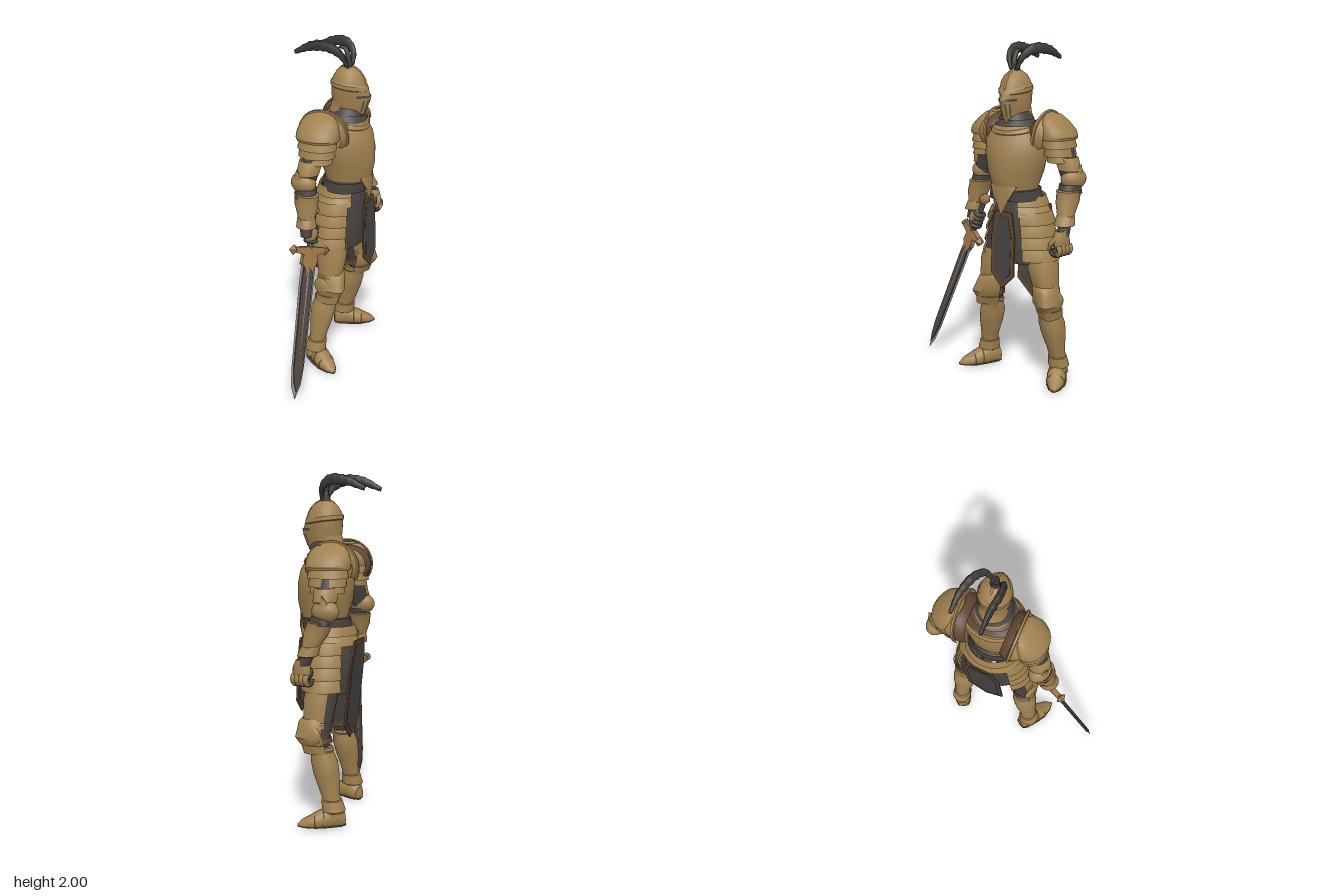
import * as THREE from 'three';
import { toCreasedNormals } from 'three/addons/utils/BufferGeometryUtils.js';

const paint = (name, color) => new THREE.MeshStandardMaterial({ name, color, side: THREE.DoubleSide });
const GOLD = paint('armour gold', 0xa08150), DARK = paint('dark cloth', 0x474340), BROWN = paint('brown leather', 0x5e4632);
const PLUME = paint('plume black', 0x3f3b37), STEEL = paint('blade steel', 0x8c8c8e);
const FULLER = paint('blade centre', 0x51473f), HILT = paint('hilt bronze', 0xa0774a);
const V = (x, y, z) => new THREE.Vector3(x, y, z);
const PI = Math.PI;

// Rings listed top to bottom: [y, rx, rz, cx, cz, keel]; keel pulls the front into a ridge
function loft(rows, { a0 = -PI, a1 = PI, n = 28, yaw = 0, warp = null, crease = 0.6 } = {}) {
  const pos = [], idx = [], p = V(0, 0, 0);
  rows.forEach(([y, rx, rz, cx = 0, cz = 0, keel = 0], j) => {
    for (let i = 0; i <= n; i++) {
      const a = a0 + (a1 - a0) * i / n;
      p.set(Math.sin(a) * rx, 0, Math.cos(a) * rz + keel * Math.max(0, Math.cos(a)) ** 6);
      p.applyAxisAngle(THREE.Object3D.DEFAULT_UP, yaw).add(V(cx, y, cz));
      if (warp) warp(p);
      pos.push(p.x, p.y, p.z);
      if (i < n && j < rows.length - 1) {
        const k = j * (n + 1) + i, m = k + n + 1;
        idx.push(k, m, k + 1, k + 1, m, m + 1);
      }
    }
  });
  const g = new THREE.BufferGeometry();
  g.setAttribute('position', new THREE.Float32BufferAttribute(pos, 3));
  g.setIndex(idx);
  return toCreasedNormals(g, crease);
}
// Rings strung between two joints: [t, rx, rz, forward, keel]
function limb(a, b, rows, opt = {}) {
  const yaw = opt.yaw || 0;
  return loft(rows.map(([t, rx, rz = rx, f = 0, keel = 0]) => {
    const c = a.clone().lerp(b, t);
    return [c.y, rx, rz, c.x + f * Math.sin(yaw), c.z + f * Math.cos(yaw), keel];
  }), opt);
}
// Thin band of a loft between two heights, grown outward
function band(rows, y0, y1, grow) {
  return [y0, y1].map(y => {
    const j = rows.findIndex((r, i) => i > 0 && r[0] <= y), A = rows[j - 1], B = rows[j];
    const r = A.map((v, k) => v + (B[k] - v) * (A[0] - y) / (A[0] - B[0]));
    return [y, r[1] + grow, r[2] + grow, r[3], r[4], r[5]];
  });
}
function add(parent, name, geo, mat, at) {
  const m = new THREE.Mesh(geo, mat);
  m.name = name;
  if (at) m.position.copy(at);
  parent.add(m);
  return m;
}
function group(parent, name, x = 0, y = 0, z = 0, yaw = 0) {
  const g = new THREE.Group();
  g.name = name; g.position.set(x, y, z); g.rotation.y = yaw;
  parent.add(g);
  return g;
}
function plate(pts, depth) {
  const g = new THREE.ExtrudeGeometry(new THREE.Shape(pts.map(p => new THREE.Vector2(...p))), { depth, bevelEnabled: false });
  return g.translate(0, 0, -depth / 2);
}
// Tube along points whose thickness follows size(t); tall stretches its section upward
function taperTube(pts, r, size, seg = 36, tall = 1) {
  const c = new THREE.CatmullRomCurve3(pts), g = new THREE.TubeGeometry(c, seg, r, 8), P = g.attributes.position, v = V(0, 0, 0);
  for (let i = 0; i < P.count; i++) {
    const t = Math.floor(i / 9) / seg, o = c.getPointAt(t);
    v.fromBufferAttribute(P, i).sub(o).multiplyScalar(size(t));
    v.y *= tall;
    v.add(o);
    P.setXYZ(i, v.x, v.y, v.z);
  }
  g.computeVertexNormals();
  return g;
}

function buildTorso(root) {
  const t = group(root, 'torso', 0.135, 0, 0.03, 0.27);
  add(t, 'cuirass', loft([[1.56, 0.1, 0.1], [1.525, 0.15, 0.125], [1.46, 0.185, 0.15, 0, 0.01, 0.005], [1.38, 0.187, 0.16, 0, 0.015, 0.01],
    [1.28, 0.165, 0.155, 0, 0.02, 0.013], [1.2, 0.138, 0.135, 0, 0.025, 0.013], [1.13, 0.134, 0.12, 0, 0.02, 0.01]], { n: 40 }), GOLD);
  add(t, 'backPlateRim', loft([[1.5, 0.165, 0.14], [1.475, 0.19, 0.157, 0, 0.005], [1.475, 0.18, 0.15]], { a0: 2.1, a1: 4.2 }), GOLD);
  add(t, 'neckRim', loft([[1.54, 0.12, 0.125, 0, 0.005], [1.535, 0.135, 0.135, 0, 0.008], [1.515, 0.15, 0.142, 0, 0.008], [1.5, 0.15, 0.135]],
    { a0: -1.1, a1: 1.1, warp: p => { p.y -= 0.25 * Math.max(0, p.z - 0.08); } }), GOLD);
  add(t, 'belt', loft([[1.185, 0.14, 0.13, 0, 0.02], [1.18, 0.15, 0.143, 0, 0.02], [1.12, 0.158, 0.142, 0, 0.015], [1.115, 0.14, 0.12]]), DARK);
  add(t, 'breastplatePoint', loft([[1.21, 0.142, 0.145, 0, 0.02, 0.008], [1.13, 0.156, 0.146, 0, 0.02, 0.012], [1.04, 0.158, 0.146, 0, 0.015, 0.008]],
    { a0: -0.6, a1: 0.6, warp: p => { p.y = Math.max(p.y, 1.04 + 1.9 * Math.abs(p.x)); } }), GOLD);
  add(t, 'neck', loft([[1.62, 0.075, 0.08, 0, 0.02], [1.575, 0.1, 0.105, 0, 0.015], [1.575, 0.092, 0.095, 0, 0.01], [1.54, 0.125, 0.122, 0, 0.01]]), DARK);
  add(t, 'collar', loft([[1.555, 0.11, 0.1], [1.545, 0.135, 0.12], [1.545, 0.12, 0.11], [1.515, 0.178, 0.137]], { a0: 0.9, a1: 2 * PI - 0.9 }), BROWN);
  // Layered shoulders with an upright guard beside the neck
  for (const s of [1, -1]) {
    const p = group(t, s > 0 ? 'leftPauldron' : 'rightPauldron', s > 0 ? 0.232 : -0.24, 0, -0.06);
    p.scale.x = s;
    add(p, 'shoulderLames', loft([[1.61, 0.005, 0.03, -0.05], [1.6, 0.035, 0.08, -0.04], [1.565, 0.065, 0.11, -0.022], [1.52, 0.092, 0.126, -0.002], [1.485, 0.1, 0.13, 0.004],
      [1.47, 0.096, 0.124, 0.004], [1.47, 0.082, 0.11, 0.004], [1.425, 0.091, 0.118, 0.01], [1.425, 0.077, 0.104, 0.012], [1.38, 0.085, 0.11, 0.016],
      [1.38, 0.07, 0.094, 0.018], [1.345, 0.076, 0.098, 0.024], [1.345, 0.06, 0.07, 0.024]]), GOLD);
    const tip = q => q.set(-q.y + 0.12 * q.x, q.x, q.z);
    const wrap = { a0: -0.5, a1: PI + 0.5, warp: tip };
    add(p, 'neckGuard', loft([[0.075, 0.142, 0.15], [0.06, 0.135, 0.145], [0.02, 0.105, 0.13]], wrap), GOLD).position.y = 1.48;
    add(p, 'neckGuardRim', loft([[0.085, 0.143, 0.151], [0.08, 0.15, 0.158], [0.067, 0.147, 0.156], [0.065, 0.138, 0.147]], wrap), GOLD).position.y = 1.48;
    add(p, 'shoulderPadding', loft([[0.135, 0.105, 0.125], [0.11, 0.125, 0.142], [0.06, 0.128, 0.142]], wrap), BROWN).position.y = 1.47;
  }
}

function buildHelmet(root) {
  const h = group(root, 'helmet', 0.14, 0, 0.05, 0.27);
  const visor = [[1.74, 0.09, 0.097, 0, 0, 0.02], [1.68, 0.088, 0.096, 0, 0, 0.045], [1.62, 0.076, 0.088, 0, 0, 0.035], [1.555, 0.062, 0.076, 0, 0, 0.015]];
  add(h, 'skull', loft([[1.852, 0.002, 0.002], [1.845, 0.03, 0.036, 0, 0, 0.004], [1.822, 0.06, 0.068, 0, 0, 0.008], [1.785, 0.081, 0.09, 0, 0, 0.012],
    [1.74, 0.089, 0.098, 0, 0, 0.018]]), GOLD);
  add(h, 'browBand', loft([[1.765, 0.086, 0.094, 0, 0, 0.018], [1.757, 0.093, 0.102, 0, 0, 0.02], [1.735, 0.095, 0.104, 0, 0, 0.024], [1.728, 0.088, 0.096, 0, 0, 0.02]],
    { warp: p => { p.y -= 0.1 * p.z * (p.z > 0 ? 1.5 : 1); } }), GOLD);
  add(h, 'visor', loft(visor, { n: 40, warp: p => { if (p.y < 1.6) p.y += Math.max(0, -p.z) * 0.4; } }), GOLD);
  add(h, 'neckFlare', loft([[1.66, 0.083, 0.09], [1.62, 0.078, 0.096, 0, -0.006], [1.59, 0.084, 0.104, 0, -0.01]], { a0: 1.7, a1: 4.58 }), GOLD);
  add(h, 'combRidge', taperTube([V(0, 1.74, 0.116), V(0, 1.8, 0.09), V(0, 1.846, 0.035), V(0, 1.843, -0.035), V(0, 1.76, -0.096)], 0.007, () => 1), GOLD);
  for (const s of [1, -1]) {
    add(h, 'eyeSlit', loft(band(visor, 1.694, 1.68, 0.003), { a0: s > 0 ? 0.15 : -0.75, a1: s > 0 ? 0.75 : -0.15 }), DARK);
    for (const a of [0.2, 0.42]) add(h, 'breathSlit', loft(band(visor, 1.665, 1.595, 0.003), { a0: s * a - 0.035, a1: s * a + 0.035, n: 3 }), DARK);
  }
  // Plumes sweep back from the crown
  const feather = t => (0.3 + 0.8 * Math.sin(PI * Math.min(1, 0.06 + t * 0.88))) * (0.9 + 0.2 * ((t * 9) % 1));
  const x = [[0.12, 0.075, 0.045, 0.028, 0.005], [0.155, 0.19, 0.208, 0.212, 0.196]];
  for (const k of x) add(root, 'plume', taperTube([V(k[0], 1.84, 0.065), V(k[1], 1.92, 0.045), V(k[2], 1.962, -0.02), V(k[3], 1.955, -0.13), V(k[4], 1.91, -0.235)], 0.019, feather, 36, 1.55), PLUME);
  add(root, 'middlePlume', taperTube([V(0.137, 1.84, 0.05), V(0.132, 1.9, 0.055), V(0.13, 1.945, 0.035), V(0.122, 1.955, 0)], 0.018, t => 1.2 - 0.7 * t), PLUME);
  add(root, 'plumeSocket', new THREE.CylinderGeometry(0.022, 0.03, 0.05, 10), PLUME, V(0.137, 1.85, 0.05));
}

function buildHips(root) {
  const h = group(root, 'hips', 0.142, 0, 0.01, 0.2);
  add(h, 'mailSkirt', loft([[1.12, 0.14, 0.125], [1, 0.18, 0.15], [0.86, 0.195, 0.15], [0.75, 0.19, 0.135], [0.75, 0.02, 0.02]]), DARK);
  add(h, 'fauld', loft([[1.14, 0.15, 0.132], [1.085, 0.172, 0.15], [1.085, 0.155, 0.135], [1.03, 0.198, 0.16], [1.03, 0.18, 0.145]],
    { a0: 0.45, a1: 2 * PI - 0.65 }), GOLD);
  const lames = [];
  for (let i = 0; i < 4; i++) {
    const y = 1.055 - i * 0.07, r = 0.19 + i * 0.013, d = 0.148 + i * 0.001;
    lames.push([y, r, d], [y - 0.055, r + 0.026, d + 0.017], [y - 0.07, r + 0.027, d + 0.017], [y - 0.072, r + 0.012, d]);
  }
  for (const s of [1, -1]) add(h, s > 0 ? 'leftTasset' : 'rightTasset', loft(lames, { a0: s > 0 ? 0.5 : -2.35, a1: s > 0 ? 2.35 : -0.78 }), GOLD);
  // Pointed cloth panels, border behind and field raised
  const cloth = (name, w, top, low, tip, x, z, tilt) => {
    const g = group(h, name, x, top, z);
    g.rotation.x = tilt;
    const out = e => [[-w * 0.72 + e, -e], [-w + e, -0.14], [-w + e, low - top + e * 0.6], [0, tip - top + e * 1.3], [w - e, low - top + e * 0.6], [w - e, -0.14], [w * 0.72 - e, -e]];
    add(g, 'border', plate(out(0), 0.01), BROWN);
    add(g, 'field', plate(out(0.025), 0.014), DARK);
  };
  cloth('frontCloth', 0.083, 1.06, 0.69, 0.61, 0.012, 0.172, -0.04);
  cloth('backCloth', 0.122, 1.06, 0.57, 0.47, 0.005, -0.168, -0.1);
}

function buildLeg(root, side, hip, knee, ankle, yaw, out) {
  const g = group(root, side + 'Leg');
  add(g, 'thigh', limb(hip, knee, [[0, 0.08, 0.09], [0.5, 0.085, 0.087], [0.85, 0.066, 0.07], [1.15, 0.058, 0.06]], { yaw }), DARK);
  add(g, 'cuisse', limb(hip, knee, [[0.38, 0.092, 0.098], [0.55, 0.094, 0.1, 0.004, 0.005], [0.82, 0.077, 0.084, 0.004, 0.01], [0.84, 0.082, 0.09, 0.004, 0.01], [0.9, 0.078, 0.085]],
    { yaw, a0: -1.75, a1: 1.75 }), GOLD);
  add(g, 'poleyn', limb(knee, ankle, [[-0.25, 0.068, 0.07, 0.005], [-0.2, 0.078, 0.082, 0.008, 0.01], [-0.1, 0.082, 0.087, 0.01, 0.02], [0.02, 0.088, 0.09, 0.014, 0.035],
    [0.12, 0.07, 0.076, 0.01, 0.03], [0.12, 0.08, 0.082, 0.01, 0.02], [0.25, 0.07, 0.075, 0.005, 0.025], [0.26, 0.062, 0.066]], { yaw, a0: -1.8, a1: 1.8 }), GOLD);
  const wing = add(g, 'kneeWing', new THREE.SphereGeometry(1, 16, 10), GOLD, knee.clone().add(V(out * 0.07, 0.005, 0)));
  wing.scale.set(0.022, 0.055, 0.055);
  add(g, 'kneeStrap', limb(knee, ankle, [[0.02, 0.068], [0.1, 0.07]], { yaw }), BROWN);
  add(g, 'greave', limb(knee, ankle, [[0.17, 0.066, 0.064], [0.2, 0.074, 0.07], [0.23, 0.068, 0.063], [0.38, 0.078, 0.074, -0.004, 0.006], [0.55, 0.072, 0.07, -0.003, 0.008],
    [0.8, 0.053, 0.054, 0, 0.006], [0.92, 0.05, 0.052], [0.93, 0.056, 0.06], [1.08, 0.063, 0.068], [1.1, 0.052, 0.056], [1.2, 0.048, 0.05]], { yaw }), GOLD);
  const foot = group(g, side + 'Foot', ankle.x, 0, ankle.z, yaw);
  const rows = [[0.205, 0.004, 0.006, 0, -0.018], [0.17, 0.034, 0.026, 0, -0.026], [0.112, 0.052, 0.042, 0, -0.036], [0.11, 0.056, 0.045, 0, -0.036],
    [0.06, 0.056, 0.056, 0, -0.048], [0.058, 0.058, 0.06, 0, -0.048], [0, 0.054, 0.068, 0, -0.06], [-0.045, 0.048, 0.06, 0, -0.05],
    [-0.07, 0.032, 0.042, 0, -0.04], [-0.075, 0.001, 0.001, 0, -0.03]];
  const lay = (lo, hi) => p => p.set(p.x, Math.min(hi, Math.max(lo, -p.z)), p.y);
  add(foot, 'sabaton', loft(rows, { warp: lay(0.01, 1) }), GOLD);
  add(foot, 'sole', loft(rows.map(r => [r[0], r[1] + 0.001, r[2], r[3], r[4]]), { warp: lay(0, 0.01) }), DARK);
}

function buildArm(root, side, shoulder, elbow, wrist, out) {
  const g = group(root, side + 'Arm');
  add(g, 'sleeve', limb(shoulder, elbow, [[0, 0.065], [0.6, 0.06], [1, 0.054], [1.4, 0.045]]), DARK);
  add(g, 'rerebrace', limb(shoulder, elbow, [[0.42, 0.066, 0.075], [0.45, 0.07, 0.08], [0.78, 0.067, 0.077], [0.8, 0.06, 0.07]], { yaw: out * PI / 2, a0: -1.7, a1: 1.7 }), GOLD);
  const joint = add(g, 'couter', new THREE.SphereGeometry(1, 20, 14), GOLD, elbow.clone().add(V(out * 0.012, -0.005, -0.012)));
  joint.scale.set(0.06, 0.064, 0.082);
  const spike = add(g, 'elbowSpike', new THREE.ConeGeometry(0.034, 0.1, 10), GOLD, elbow.clone().add(V(out * 0.048, 0.04, -0.02)));
  spike.rotation.z = -out * 0.3;
  spike.scale.z = 1.5;
  add(g, 'elbowStrap', limb(elbow, wrist, [[0.12, 0.056, 0.064], [0.27, 0.056, 0.064]]), DARK);
  add(g, 'vambrace', limb(elbow, wrist, [[0.24, 0.054, 0.064], [0.26, 0.064, 0.08], [0.3, 0.058, 0.076], [0.5, 0.058, 0.074], [0.78, 0.046, 0.052], [0.8, 0.052, 0.054], [0.98, 0.058, 0.06], [1, 0.046]]), GOLD);
  add(g, 'wrist', limb(elbow, wrist, [[0.95, 0.038], [1.2, 0.034]]), DARK);
}

function buildSword(root) {
  // Sword frame: y runs from blade to pommel, x along the guard
  const g = group(root, 'sword', -0.24, 0.835, 0.08);
  const y = V(0.3, 0.815, -0.135).normalize(), x = V(0.24, -0.105, 0.07).projectOnPlane(y).normalize();
  g.quaternion.setFromRotationMatrix(new THREE.Matrix4().makeBasis(x, y, x.clone().cross(y)));
  add(g, 'blade', loft([[-0.02, 0.05, 0.011], [-0.2, 0.054, 0.011], [-0.7, 0.045, 0.01], [-0.8, 0.036, 0.008], [-0.885, 0.002, 0.002]], { n: 4, crease: 0.1 }), STEEL);
  add(g, 'fuller', plate([[-0.036, -0.08], [-0.041, -0.2], [-0.034, -0.7], [-0.02, -0.79], [0, -0.84], [0.02, -0.79], [0.032, -0.7], [0.037, -0.2], [0.034, -0.08]], 0.02), FULLER);
  add(g, 'ricasso', plate([[-0.045, 0], [-0.055, -0.08], [-0.03, -0.1], [-0.02, -0.15], [0, -0.1], [0.03, -0.13], [0.055, -0.07], [0.045, 0]], 0.026), HILT);
  add(g, 'guard', plate([[-0.11, 0.016], [0, 0.022], [0.11, 0.016], [0.11, -0.014], [0.03, -0.03], [-0.03, -0.03], [-0.11, -0.014]], 0.034), HILT);
  for (const s of [1, -1]) add(g, 'guardEnd', new THREE.OctahedronGeometry(0.033), HILT, V(s * 0.117, 0, 0));
  add(g, 'grip', new THREE.CylinderGeometry(0.017, 0.019, 0.21, 12), DARK, V(0, 0.11, 0));
  add(g, 'pommel', new THREE.OctahedronGeometry(0.036, 1), HILT, V(0, 0.235, 0));
  // Right fist closed round the grip
  for (let i = 0; i < 4; i++) add(g, 'finger', new THREE.TorusGeometry(0.029, 0.014, 8, 18).rotateX(PI / 2), DARK, V(0, 0.055 + i * 0.026, 0));
  const back = add(g, 'handPlate', new THREE.SphereGeometry(1, 16, 10), GOLD, V(-0.014, 0.1, 0.01));
  back.scale.set(0.044, 0.058, 0.038);
}

function buildOpenHand(root) {
  const h = group(root, 'leftHand', 0.475, 0.92, 0);
  add(h, 'palm', loft([[0.06, 0.03, 0.036], [0.03, 0.036, 0.05], [-0.01, 0.034, 0.055, 0.006], [-0.04, 0.022, 0.05, 0.008], [-0.045, 0.002, 0.01, 0.008]]), GOLD);
  for (let i = 0; i < 4; i++) {
    const z = 0.04 - i * 0.027;
    add(h, 'finger', taperTube([V(0.022, -0.02, z), V(0.032, -0.05, z), V(0.014, -0.075, z)], 0.0155, t => 1.05 - 0.1 * t, 10), GOLD);
    add(h, 'fingertip', taperTube([V(0.016, -0.073, z), V(-0.012, -0.08, z), V(-0.036, -0.07, z), V(-0.042, -0.05, z)], 0.0145, t => 1 - 0.3 * t, 10), DARK);
  }
  add(h, 'thumb', taperTube([V(0, 0.02, 0.04), V(-0.02, -0.015, 0.062), V(-0.035, -0.05, 0.055)], 0.015, t => 1.1 - 0.4 * t, 10), GOLD);
  const palm = add(h, 'glovePalm', new THREE.SphereGeometry(1, 12, 8), DARK, V(-0.018, -0.012, -0.008));
  palm.scale.set(0.026, 0.045, 0.053);
}

export function createModel() {
  const root = new THREE.Group();
  root.name = 'armouredKnight';
  buildTorso(root);
  buildHelmet(root);
  buildHips(root);
  buildLeg(root, 'right', V(0.025, 0.97, 0.04), V(-0.045, 0.53, 0.065), V(-0.13, 0.13, 0.035), -0.3, -1);
  buildLeg(root, 'left', V(0.25, 0.97, -0.02), V(0.345, 0.53, -0.025), V(0.343, 0.13, -0.115), 0.7, 1);
  buildArm(root, 'right', V(-0.12, 1.46, 0.035), V(-0.195, 1.235, 0.02), V(-0.245, 0.98, 0.06), -1);
  buildArm(root, 'left', V(0.355, 1.46, -0.1), V(0.422, 1.255, -0.115), V(0.468, 1.0, -0.03), 1);
  buildSword(root);
  buildOpenHand(root);
  return root;
}
